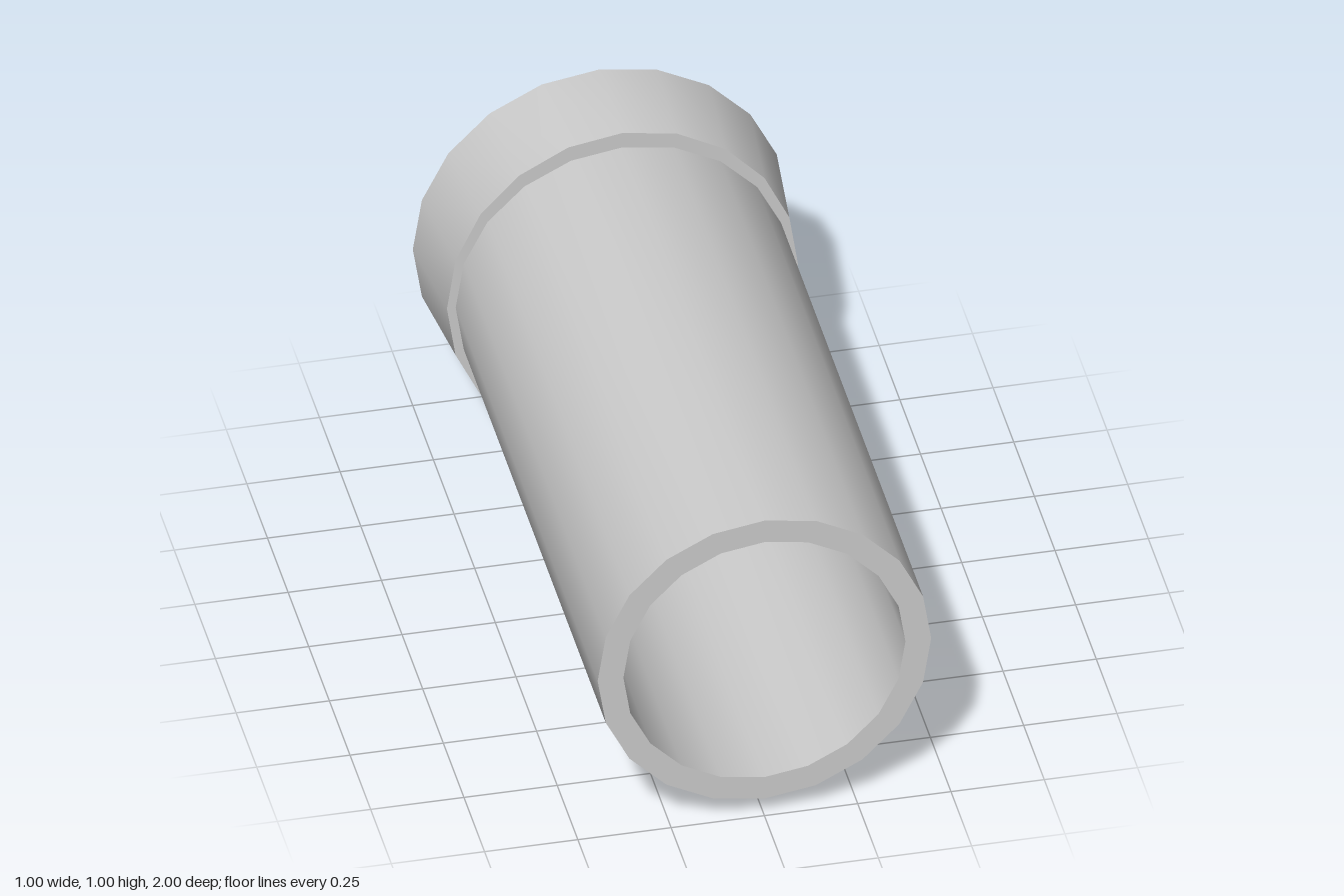
import * as THREE from 'three';
import { toCreasedNormals } from 'three/addons/utils/BufferGeometryUtils.js';

const SIDES = 20;
const CENTER_Y = 0.505;

// Turn a [radius, z] profile around the z axis; adjust may move each vertex
function turned(name, profile, adjust) {
  const points = profile.map(([r, z]) => new THREE.Vector2(r, z));
  const geometry = new THREE.LatheGeometry(points, SIDES);
  geometry.rotateX(Math.PI / 2);
  if (adjust) {
    const p = geometry.attributes.position;
    const v = new THREE.Vector3();
    for (let i = 0; i < p.count; i++) {
      adjust(v.fromBufferAttribute(p, i));
      p.setXYZ(i, v.x, v.y, v.z);
    }
  }
  const material = new THREE.MeshStandardMaterial({ color: 0xcccccc });
  const mesh = new THREE.Mesh(toCreasedNormals(geometry, 0.7), material);
  mesh.name = name;
  mesh.position.y = CENTER_Y;
  return mesh;
}

export function createModel() {
  const group = new THREE.Group();
  group.name = 'cappedTube';

  // Hollow barrel: outer wall, front rim, bore and chamfered floor
  group.add(turned('barrel', [
    [0.447, -0.74], [0.447, 1], [0.378, 1],
    [0.378, -0.88], [0.34, -0.92], [0, -0.92],
  ]));

  // Back collar with a shallow round recess; its sides narrow towards the front
  group.add(turned('collar', [
    [0, -0.98], [0.31, -0.98], [0.32, -1],
    [0.502, -1], [0.493, -0.72], [0.44, -0.72],
  ], (v) => {
    const t = (v.z + 1) / 0.28;
    if (Math.hypot(v.x, v.y) > 0.45) v.x *= 0.996 - 0.042 * t;
  }));

  return group;
}
